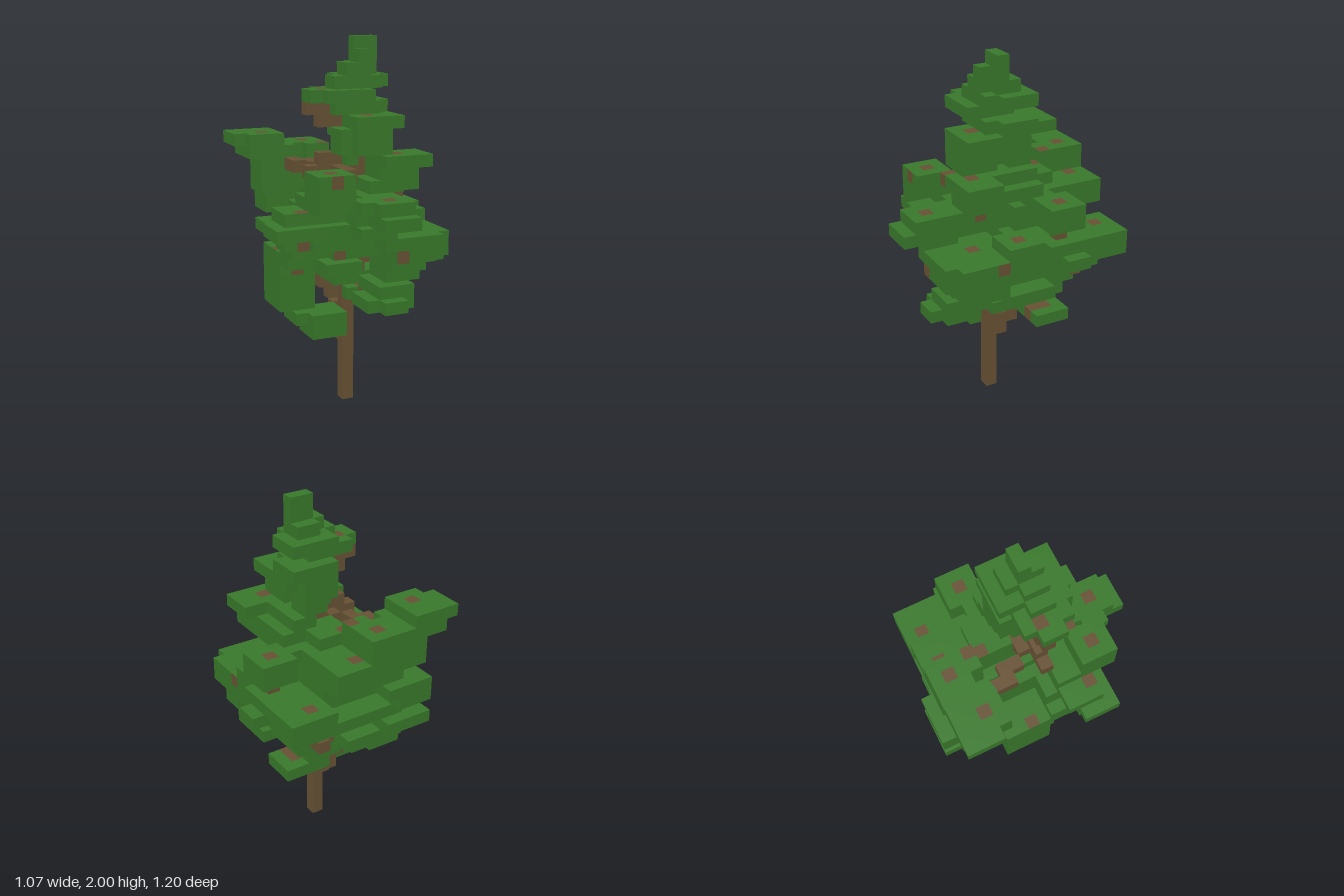
import * as THREE from 'three';
import { mergeGeometries } from 'three/addons/utils/BufferGeometryUtils.js';

const U = 1 / 15; // edge of one block

// every box is [x0, x1, y0, y1, z0, z1] in blocks
const trunk = [[-1, 0, 0, 26, 0, 1]];
const lowBranches = [
  [-1, 0, 5, 7, -1, 0], [-1, 0, 6, 8, -2, -1], [-1, 0, 8, 10, -3, -2], [-1, 0, 10, 11, -4, -1],
  [-3, -1, 10, 11, -3, -2], [-3, -1, 10, 11, 0, 1], [0, 1, 9, 10, 1, 5], [3, 4, 8, 9, -3, -1],
  [-1, 1, 11, 12, 0, 1], [-1, 1, 12, 13, -2, 2], [0, 3, 12, 13, -1, 1], [-1, 0, 12, 13, -5, -2],
  [3, 4, 12, 13, -7, -5], [2, 3, 12, 13, -6, -5],
];
const highBranches = [
  [5, 6, 16, 17, -3, -2], [-1, 0, 18, 19, -1, 0], [-4, 1, 19, 20, 0, 1], [-3, 1, 20, 21, 0, 1],
  [-2, -1, 19, 20, 1, 4],
  // toward the rear corner
  [-2, -1, 19, 20, -1, 0], [-3, -2, 19, 20, -3, -1], [-4, -3, 19, 20, -4, -2],
  [-3, -1, 23, 24, 0, 1], [-4, -2, 24, 25, 0, 1],
];
const crown = [
  [0, 2, 28, 30, 0, 1], [0, 1, 28, 29, 1, 2],
  [-1, 1, 27, 28, 0, 2], [0, 2, 27, 28, -1, 1],
  [-1, 3, 26, 27, -2, 1], [-2, 2, 26, 27, 0, 2],
  [-4, 1, 25, 26, 0, 2], [-3, 1, 25, 26, -1, 3],
  [-1, 3, 24, 25, -2, 1], [-2, 2, 24, 25, 0, 2],
  [-1, 3, 23, 24, -1, 4], [-1, 2, 23, 24, -2, -1],
  [-2, 2, 21, 23, 1, 3], [-1, 2, 21, 23, 3, 4],
  [-1, 2, 22, 23, -2, 1], [-1, 1, 21, 22, -1, 1], [0, 2, 21, 22, -2, 0],
];
const upperPads = [
  [1, 5, 20, 21, 2, 5], [1, 3, 20, 21, -2, 2], [1, 4, 19, 20, -2, 4], [0, 3, 18, 19, 1, 4],
  [-1, 0, 20, 21, 1, 2], [-5, -2, 17, 20, 3, 6],
  // tall rear pads
  [-3, 0, 17, 21, -8, -5], [-2, 0, 18, 21, -5, -4], [0, 3, 17, 19, -8, -5],
  [-1, 3, 18, 19, -5, -1], [-1, 2, 19, 20, -4, -1],
  // rear corner pad
  [-8, -4, 21, 22, -8, -5], [-7, -4, 21, 22, -5, -4],
  [-7, -3, 20, 21, -8, -4], [-6, -3, 17, 20, -7, -4],
  // side pad
  [4, 7, 17, 19, -4, -1], [3, 5, 18, 19, -3, -1],
  // front pad
  [-5, -1, 17, 18, 1, 4], [-1, 2, 17, 18, -5, 4], [0, 3, 17, 18, -5, 0],
  [-1, 2, 17, 18, 4, 8], [-2, 2, 17, 18, 5, 7],
];
const middlePads = [
  [-1, 2, 16, 17, 6, 9], [-5, -1, 16, 17, -9, -6], [-2, 2, 16, 17, -6, 4], [-5, -2, 16, 17, 1, 4],
  [0, 3, 16, 17, -6, 0], [-7, -4, 16, 17, 1, 4], [-2, 2, 16, 17, 4, 6],
  [-8, -4, 15, 16, 2, 5], [-5, 0, 15, 16, 0, 5], [-3, 0, 15, 16, -6, 0], [0, 5, 15, 16, -6, 1],
  [3, 7, 14, 16, -8, -5], [2, 7, 15, 16, -5, -1], [3, 6, 15, 16, -1, 2],
  [-2, 1, 15, 16, 4, 7], [-5, -2, 15, 16, -9, -6],
];
const innerPads = [
  [4, 8, 14, 15, -4, -2], [3, 6, 14, 15, -7, 3], [-7, -4, 14, 15, 2, 4], [-3, 5, 14, 15, -7, 5],
  [-5, -3, 14, 15, 0, 5], [0, 5, 14, 15, 5, 7], [-3, 3, 14, 15, -8, -5], [2, 6, 13, 15, 3, 6],
  [-6, 6, 13, 14, 0, 3], [-3, 6, 13, 14, -6, 4], [1, 5, 13, 14, 4, 7], [-5, -1, 13, 14, -9, -6],
];
const lowerPads = [
  [-6, -1, 12, 13, -2, 2], [1, 6, 12, 13, 2, 4], [-4, 5, 12, 13, -5, -2], [-4, -1, 12, 13, 2, 5],
  [1, 4, 12, 13, 4, 6], [-3, 2, 12, 13, -8, -5],
  [-3, -1, 11, 12, -5, 4], [1, 4, 11, 12, -5, -2], [3, 6, 11, 12, -2, 2], [1, 4, 11, 12, 2, 5],
  [-3, 1, 11, 12, -7, -4],
  // hanging side pad
  [-6, -3, 8, 13, -4, 0], [-4, -1, 6, 8, -1, 2], [-5, -3, 7, 8, -2, 1],
  [0, 4, 10, 11, -4, 1], [0, 3, 10, 11, 2, 6], [-3, 1, 10, 11, -5, -3],
  [-1, 3, 9, 10, 3, 6], [0, 2, 9, 10, 2, 7], [0, 3, 9, 10, -4, 2], [-1, 0, 9, 10, 1, 2],
  [1, 5, 8, 9, -4, -1],
];

// branch ends showing at the surface
const topEnds = [[-2, -7], [0, -7], [4, -7], [-6, -6], [-1, -5], [-1, -4], [5, -3], [-6, -2],
  [-3, 0], [4, 0], [-6, 3], [-2, 3], [-4, 4], [0, 6]]; // x, z
const shadedEnds = [[0, 23, 2], [2, 20, 3], [2, 14, 3]]; // x, y, z, below other pads
const frontEnds = [[-3, 20], [-2, 20], [0, 20], [-4, 19], [-2, 19], [-1, 19], [0, 19], [-1, 18],
  [-6, 14], [-3, 13], [1, 13], [-1, 12], [0, 12], [-1, 11], [0, 11], [-5, 11],
  [-3, 10], [-2, 10], [-1, 10], [3, 8]]; // x, y
const sideEnds = [[-1, 18], [0, 18], [2, 17], [2, 14], [-2, 12], [-1, 12], [0, 12], [1, 12],
  [-6, 12], [-5, 12], [-2, 10]]; // z, y

const id = (x, y, z) => `${x},${y},${z}`;

function fill(grid, boxes, part) {
  for (const [x0, x1, y0, y1, z0, z1] of boxes)
    for (let x = x0; x < x1; x++)
      for (let y = y0; y < y1; y++)
        for (let z = z0; z < z1; z++) grid.set(id(x, y, z), { p: [x, y, z], part, ends: [] });
}

// mark one face of the outermost block along a line as a branch end
function markOuter(grid, side, keyAt) {
  for (let t = 30; t >= -10; t--) {
    const cell = grid.get(keyAt(t));
    if (!cell) continue;
    cell.ends.push(side);
    return;
  }
}

// one outward square for each of the six directions
const sides = Object.entries({
  left: [1, 0, 0], right: [-1, 0, 0], top: [0, 1, 0], bottom: [0, -1, 0], front: [0, 0, 1], back: [0, 0, -1],
}).map(([side, d]) => {
  const face = new THREE.PlaneGeometry(U, U).translate(0, 0, U / 2);
  if (d[0]) face.rotateY(d[0] * Math.PI / 2);
  else if (d[1]) face.rotateX(-d[1] * Math.PI / 2);
  else if (d[2] < 0) face.rotateY(Math.PI);
  return { side, d, face };
});

// outer faces of all blocks, sorted by part
function collectFaces(grid) {
  const faces = {};
  for (const { p: [x, y, z], part, ends } of grid.values())
    for (const { side, d, face } of sides) {
      if (grid.has(id(x + d[0], y + d[1], z + d[2]))) continue;
      const name = ends.includes(side) ? 'branches' : part;
      (faces[name] ??= []).push(face.clone().translate((x + 0.5) * U, (y + 0.5) * U, (z + 0.5) * U));
    }
  return faces;
}

export function createModel() {
  const bark = new THREE.MeshStandardMaterial({ color: 0x675134 });
  bark.name = 'bark brown';
  const leaf = new THREE.MeshStandardMaterial({ color: 0x38782a });
  leaf.name = 'leaf green';

  const grid = new Map();
  fill(grid, lowerPads, 'lowerFoliage');
  fill(grid, innerPads, 'middleFoliage');
  fill(grid, middlePads, 'middleFoliage');
  fill(grid, upperPads, 'upperFoliage');
  fill(grid, crown, 'crownFoliage');
  fill(grid, lowBranches, 'branches');
  fill(grid, highBranches, 'branches');
  fill(grid, trunk, 'trunk');
  for (const [x, z] of topEnds) markOuter(grid, 'top', (t) => id(x, t, z));
  for (const [x, y] of frontEnds) markOuter(grid, 'front', (t) => id(x, y, t));
  for (const [z, y] of sideEnds) markOuter(grid, 'left', (t) => id(t, y, z));
  for (const [x, y, z] of shadedEnds) grid.get(id(x, y, z)).ends.push('top');

  const tree = new THREE.Group();
  tree.name = 'tree';
  for (const [name, faces] of Object.entries(collectFaces(grid))) {
    const mesh = new THREE.Mesh(mergeGeometries(faces), name.endsWith('Foliage') ? leaf : bark);
    mesh.name = name;
    tree.add(mesh);
  }
  return tree;
}
